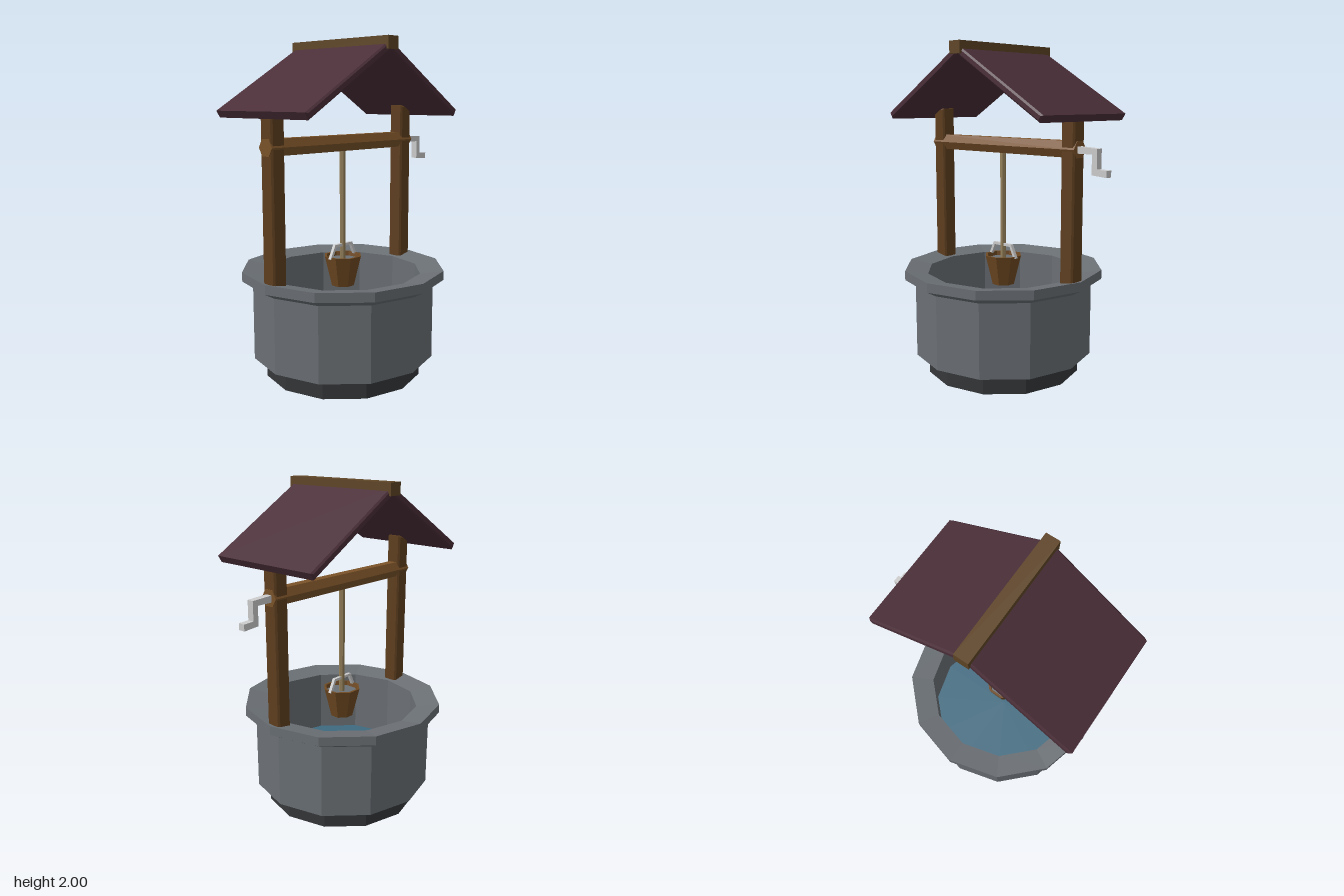
import * as THREE from 'three';

const CX = -0.073; // axis of the well; the crank makes it off-centre

const mat = (color, side = THREE.FrontSide) =>
  new THREE.MeshStandardMaterial({ color, flatShading: true, side });

const STONE = mat(0x6b7075);
const DARK_STONE = mat(0x353739);
const WATER = mat(0x3f6a80);
const POST_WOOD = mat(0x5e3e1e);
const RIDGE_WOOD = mat(0x5f4526);
const AXLE_WOOD = mat(0x7a5228);
const BUCKET_WOOD = mat(0x704a22, THREE.DoubleSide);
const ROOF = mat(0x4a2e38);
const ROPE = mat(0x94805a);
const METAL = mat(0xcccccc);

function add(parent, name, geometry, material, x = 0, y = 0, z = 0) {
  const mesh = new THREE.Mesh(geometry, material);
  mesh.name = name;
  mesh.position.set(x, y, z);
  parent.add(mesh);
  return mesh;
}

// Box with all edges chamfered by c
function chamferBox(w, h, d, c) {
  const a = w / 2 - c, b = h / 2 - c;
  const shape = new THREE.Shape([
    new THREE.Vector2(-a, -b), new THREE.Vector2(a, -b),
    new THREE.Vector2(a, b), new THREE.Vector2(-a, b),
  ]);
  const geo = new THREE.ExtrudeGeometry(shape, {
    depth: d - 2 * c, bevelEnabled: true, bevelSegments: 1, bevelSize: c, bevelThickness: c,
  });
  return geo.translate(0, 0, -(d - 2 * c) / 2);
}

// Flat bar following an outline in the xy plane, centred on z = 0
function flatBar(points, depth) {
  const shape = new THREE.Shape(points.map(([x, y]) => new THREE.Vector2(x, y)));
  return new THREE.ExtrudeGeometry(shape, { depth, bevelEnabled: false }).translate(0, 0, -depth / 2);
}

const lathe = (points, sides, start = 0) =>
  new THREE.LatheGeometry(points.map(([r, y]) => new THREE.Vector2(r, y)), sides, start);

export function createModel() {
  const model = new THREE.Group();
  model.name = 'well';
  const well = new THREE.Group();
  well.name = 'wellBody';
  well.position.x = CX;
  model.add(well);

  // Stonework: base, wall with overhanging rim, and water inside
  add(well, 'base', new THREE.CylinderGeometry(0.477, 0.477, 0.13, 12), DARK_STONE, 0, 0.065, 0);
  add(well, 'wallAndRim', lathe([
    [0.4, 0.12], [0.552, 0.12], [0.552, 0.565], [0.615, 0.6],
    [0.615, 0.655], [0.475, 0.63], [0.475, 0.2],
  ], 12), STONE);
  add(well, 'water', new THREE.CircleGeometry(0.475, 12).rotateX(-Math.PI / 2), WATER, 0, 0.24, 0);

  // Posts and roof slopes, mirrored
  const slope = Math.atan2(0.377, 0.627);
  const slopeLength = Math.hypot(0.377, 0.627);
  for (const s of [-1, 1]) {
    const side = s > 0 ? 'left' : 'right';
    add(well, side + 'Post', chamferBox(0.094, 1.02, 0.096, 0.01), POST_WOOD, s * 0.54, 1.11, 0);
    const roof = add(well, side + 'RoofSlope', chamferBox(slopeLength, 0.045, 0.744, 0.01), ROOF,
      s * 0.3135, 1.7645, 0);
    roof.rotation.z = -s * slope;
  }
  add(well, 'ridgeBeam', new THREE.BoxGeometry(0.085, 0.072, 0.772), RIDGE_WOOD, 0, 1.964, 0);

  // Hexagonal axle through both posts, with the rope
  add(well, 'axle', new THREE.CylinderGeometry(0.054, 0.054, 1.182, 6).rotateZ(Math.PI / 2),
    AXLE_WOOD, 0, 1.403, 0);
  add(well, 'rope', new THREE.CylinderGeometry(0.018, 0.018, 0.7, 6).rotateY(Math.PI / 6),
    ROPE, 0, 1.04, 0);

  // Bucket: hollow octagonal tub, its water and the handle
  const bucket = new THREE.Group();
  bucket.name = 'bucket';
  well.add(bucket);
  add(bucket, 'tub', lathe([
    [0, 0.535], [0.072, 0.535], [0.118, 0.72], [0.103, 0.72], [0.095, 0.68],
  ], 8, Math.PI / 8), BUCKET_WOOD);
  add(bucket, 'bucketWater',
    new THREE.CircleGeometry(0.1, 8).rotateX(-Math.PI / 2).rotateY(Math.PI / 8), STONE, 0, 0.695, 0);
  const half = [[0.114, 0.71], [0.074, 0.793]];
  const inner = [[0.064, 0.777], [0.098, 0.705]];
  add(bucket, 'handle', flatBar([
    ...half, ...half.map(([x, y]) => [-x, y]).reverse(),
    ...inner.map(([x, y]) => [-x, y]).reverse(), ...inner,
  ], 0.02), METAL);

  // Crank on the left post
  add(model, 'crank', flatBar([
    [0.5, 1.382], [0.616, 1.382], [0.616, 1.27], [0.715, 1.262], [0.715, 1.3],
    [0.65, 1.303], [0.65, 1.414], [0.5, 1.422],
  ], 0.042), METAL);

  return model;
}
